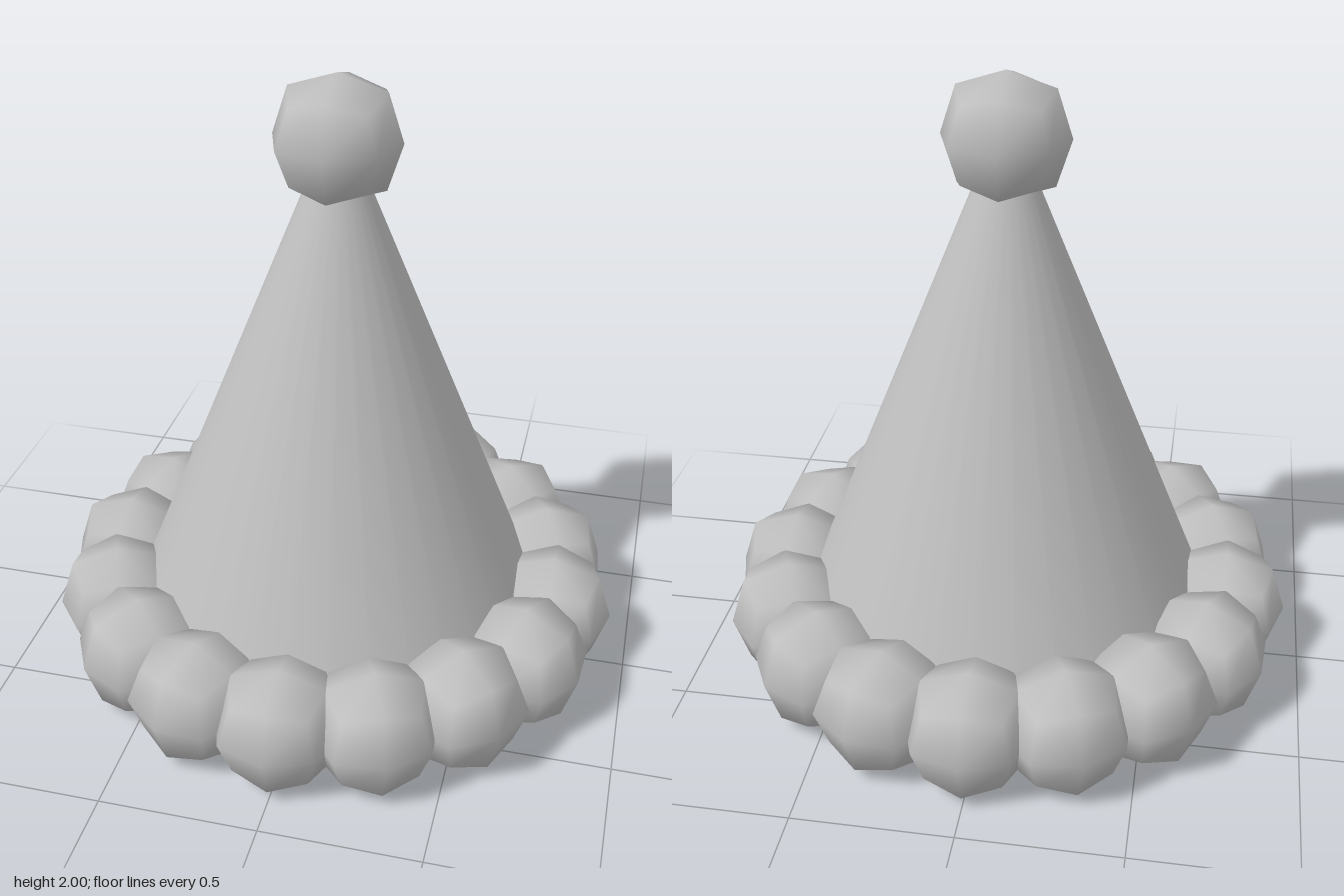
import * as THREE from 'three';
import { mergeVertices } from 'three/addons/utils/BufferGeometryUtils.js';

const RING_COUNT = 16;
const RING_RADIUS = 0.74;

// Low-poly ball: a 2x2x2 box with every vertex pushed out to a rounded radius
function ballGeometry() {
  const box = new THREE.BoxGeometry(2, 2, 2, 2, 2, 2);
  box.deleteAttribute('uv');
  box.deleteAttribute('normal');
  const geo = mergeVertices(box);
  const radii = { 1: 0.199, 2: 0.213, 3: 0.206 }; // face centre, edge middle, corner
  const pos = geo.attributes.position;
  const v = new THREE.Vector3();
  for (let i = 0; i < pos.count; i++) {
    v.fromBufferAttribute(pos, i);
    v.setLength(radii[Math.round(v.lengthSq())]);
    pos.setXYZ(i, v.x, v.y, v.z);
  }
  geo.clearGroups();
  geo.computeVertexNormals();
  return geo;
}

export function createModel() {
  const model = new THREE.Group();
  model.name = 'pomPomHat';
  const grey = new THREE.MeshStandardMaterial({ color: 0xbfbfbf });
  grey.name = 'grey';

  // Cone with a closed underside
  const bottom = 0.1, top = 1.66;
  const cone = new THREE.Mesh(new THREE.CylinderGeometry(0.095, 0.72, top - bottom, 32), grey);
  cone.name = 'cone';
  cone.position.set(0.005, (top + bottom) / 2, 0.005);
  model.add(cone);

  // Bobble on the tip
  const ball = ballGeometry();
  const bobble = new THREE.Mesh(ball, grey);
  bobble.name = 'topBobble';
  bobble.position.set(0.005, 1.801, 0.005);
  model.add(bobble);

  // Brim: a ring of overlapping balls, each turned to face outward
  const brim = new THREE.Group();
  brim.name = 'brim';
  for (let i = 0; i < RING_COUNT; i++) {
    const a = (i / RING_COUNT) * Math.PI * 2;
    const puff = new THREE.Mesh(ball, grey);
    puff.name = 'brimBall' + (i + 1);
    puff.position.set(Math.sin(a) * RING_RADIUS, 0.2, Math.cos(a) * RING_RADIUS);
    puff.rotation.y = a;
    brim.add(puff);
  }
  model.add(brim);

  return model;
}
